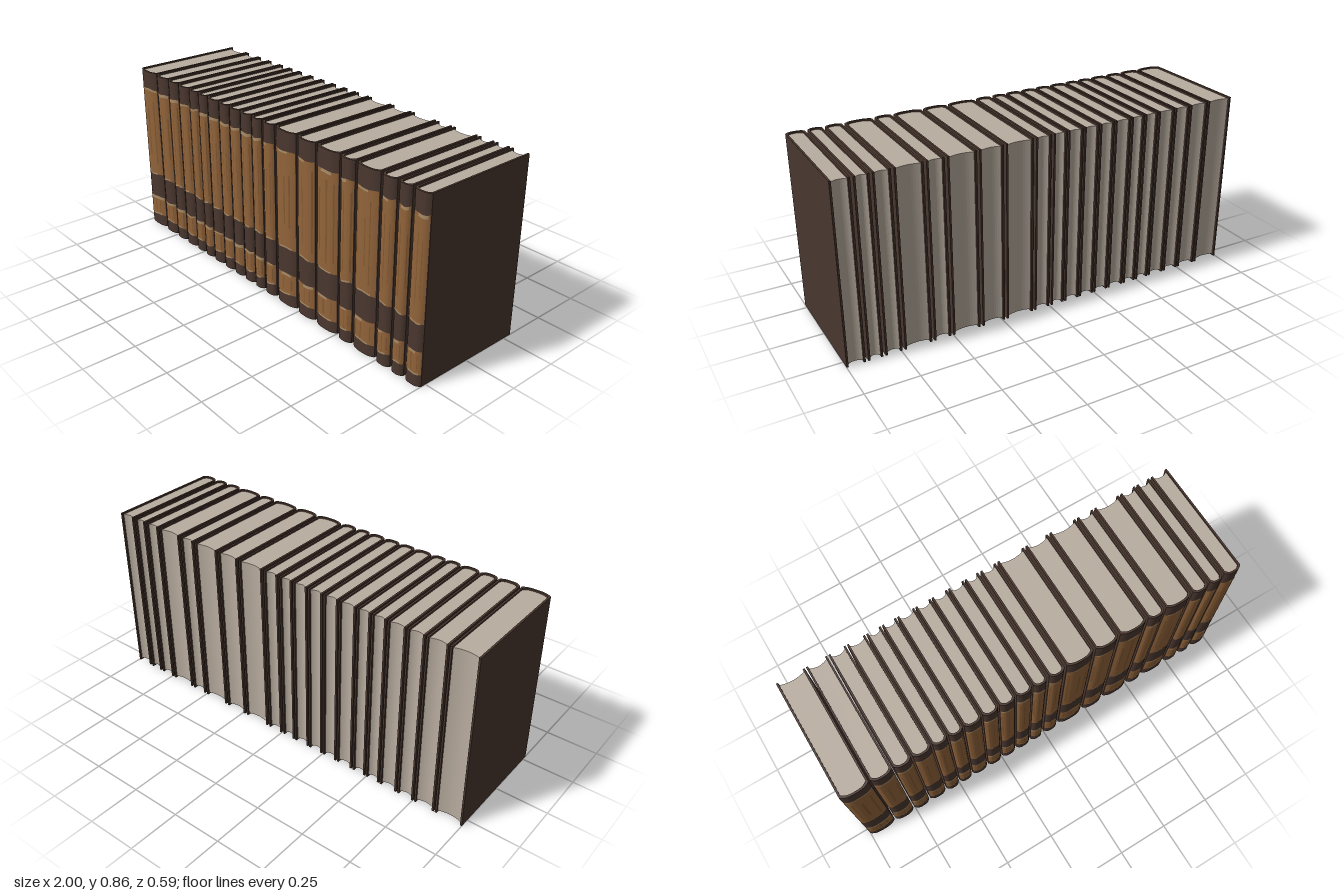
import * as THREE from 'three';

const HEIGHT = 0.863, BOARD = 0.009, BACK = -0.295, HINGE = 0.276, BULGE = 0.0165;

// x positions of the gaps between neighbouring books
const GAPS = [-0.862, -0.755, -0.666, -0.572, -0.495, -0.42, -0.33, -0.248, -0.165, -0.081,
  -0.004, 0.085, 0.232, 0.358, 0.505, 0.598, 0.739, 0.829, 0.908];

const mat = (name, color, side = THREE.FrontSide) => {
  const m = new THREE.MeshStandardMaterial({ color, side });
  m.name = name;
  return m;
};

// small seeded generator, for the worn edges of the bands
function seeded(seed) {
  let s = seed;
  return () => {
    s = (s * 16807) % 2147483647;
    return s / 2147483647;
  };
}

// rounded spine, u runs from -1 to 1 across the book
const spineZ = (u) => HINGE + BULGE * (1 - Math.pow(Math.abs(u), 3.2));

// closed outline of [x, z] points raised along y
function prism(points, y0, y1) {
  const shape = new THREE.Shape(points.map(([x, z]) => new THREE.Vector2(x, -z)));
  const geo = new THREE.ExtrudeGeometry(shape, { depth: y1 - y0, bevelEnabled: false });
  geo.rotateX(-Math.PI / 2);
  geo.translate(0, y0, 0);
  return geo;
}

// U-shaped case: two boards joined by the rounded spine
function coverGeometry(half) {
  const outer = [], inner = [];
  for (let i = 0; i <= 16; i++) {
    const u = -1 + i / 8;
    outer.push([u * half, spineZ(u)]);
    inner.push([-u * (half - BOARD), spineZ(u) - BOARD]);
  }
  return prism([[-half, BACK], ...outer, [half, BACK],
    [half - BOARD, BACK], ...inner, [-half + BOARD, BACK]], 0, HEIGHT);
}

// page block with a hollow fore edge
function pagesGeometry(half) {
  const w = half - BOARD + 0.0005, pts = [];
  for (let i = 0; i <= 10; i++) {
    const u = -1 + i / 5;
    pts.push([u * w, spineZ(u) - BOARD + 0.0005]);
  }
  for (let i = 0; i <= 10; i++) {
    const u = 1 - i / 5;
    pts.push([u * w, -0.286 + 0.011 * (1 - u * u)]);
  }
  return prism(pts, 0.008, HEIGHT - 0.008);
}

// thin plate bent over the spine; low(u) and high(u) give its edges
function spinePlate(half, u0, u1, low, high, lift) {
  const geo = new THREE.PlaneGeometry(2, 1, 14, 1);
  const p = geo.attributes.position;
  for (let i = 0; i < p.count; i++) {
    const u = THREE.MathUtils.lerp(u0, u1, (p.getX(i) + 1) / 2);
    p.setXYZ(i, u * half, p.getY(i) > 0 ? high(u) : low(u), spineZ(u) + lift);
  }
  geo.computeVertexNormals();
  return geo;
}

export function createModel() {
  const group = new THREE.Group();
  group.name = 'rowOfBooks';
  const rand = seeded(4711);

  const cover = mat('dark brown leather', 0x4a372f);
  const pages = mat('paper', 0xb9ada0);
  const label = mat('tan leather', 0x92643a);
  const streak = mat('worn tan leather', 0x81572f);
  const trim = mat('pale trim', 0xa98c66);

  const add = (parent, name, geo, material) => {
    const m = new THREE.Mesh(geo, material);
    m.name = name;
    parent.add(m);
  };

  const edges = [-1, ...GAPS, 1];
  for (let i = 0; i < edges.length - 1; i++) {
    const gap = (k) => (k === 0 || k === edges.length - 1 ? 0 : k < 11 ? 0.0035 : 0.006);
    const x0 = edges[i] + gap(i), x1 = edges[i + 1] - gap(i + 1);
    const half = (x1 - x0) / 2;
    const book = new THREE.Group();
    book.name = 'book' + (i + 1);
    book.position.x = (x0 + x1) / 2;

    add(book, 'cover', coverGeometry(half), cover);
    add(book, 'pages', pagesGeometry(half), pages);

    // two tan panels, each with worn streaks and pale trims
    for (const [name, y0, y1] of [['lower', 0.058, 0.168], ['upper', 0.297, 0.772]]) {
      const phase = rand() * 6.28, amp = 0.002 + rand() * 0.003;
      const low = (u) => y0 + amp * Math.sin(3 * u + phase);
      const high = (u) => y1 + amp * 0.6 * Math.sin(4 * u - phase);
      add(book, name + 'Panel', spinePlate(half, -0.95, 0.95, low, high, 0.0006), label);

      for (let k = 0; k < 3; k++) {
        const u = -0.85 + k * 0.65 + rand() * 0.35, w = 0.03 + rand() * 0.05;
        const inset = (y1 - y0) * (0.08 + 0.2 * rand());
        add(book, name + 'Streak', spinePlate(half, u - w, u + w,
          () => y0 + inset, () => y1 - inset, 0.0011), streak);
      }

      const thick = 0.008 + rand() * 0.008;
      const start = i < 11 ? -0.92 : -0.9 + rand() * 0.8;
      const end = i < 11 ? 0.92 : start + 0.8 + rand() * 0.2;
      add(book, name + 'TopTrim', spinePlate(half, start, end,
        (u) => high(u) - thick, high, 0.0016), trim);
      const from = -0.9 + rand() * 0.5;
      add(book, name + 'BottomTrim', spinePlate(half, from, from + 1.2,
        low, (u) => low(u) + 0.008, 0.0016), trim);
    }
    group.add(book);
  }
  return group;
}
